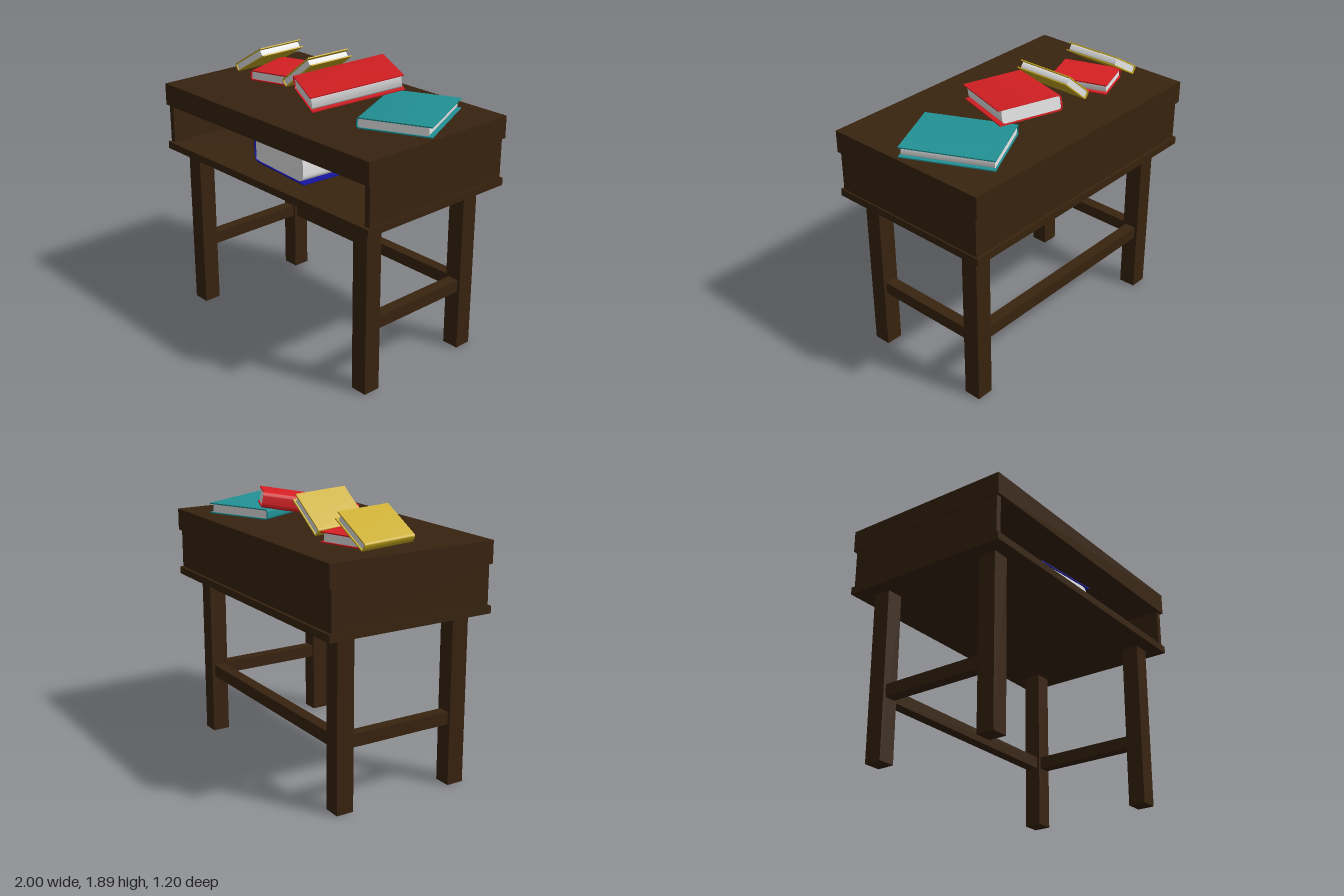
import * as THREE from 'three';
import { toCreasedNormals } from 'three/addons/utils/BufferGeometryUtils.js';

const material = (name, color) => {
  const m = new THREE.MeshStandardMaterial({ color });
  m.name = name;
  return m;
};

export function createModel() {
  const wood = material('dark wood', 0x38230f);
  const paper = material('paper white', 0xececec);
  const red = material('red cover', 0xd82024);
  const teal = material('teal cover', 0x229296);
  const yellow = material('yellow cover', 0xc9ab20);
  const blue = material('blue cover', 0x1616a0);

  const model = new THREE.Group();
  model.name = 'deskWithBooks';

  // Box given by its minimum and maximum corners
  const box = (name, x0, x1, y0, y1, z0, z1) => {
    const mesh = new THREE.Mesh(new THREE.BoxGeometry(x1 - x0, y1 - y0, z1 - z0), wood);
    mesh.name = name;
    mesh.position.set((x0 + x1) / 2, (y0 + y1) / 2, (z0 + z1) / 2);
    model.add(mesh);
  };

  // Desk body: top, shelf and three walls, open at the front
  box('deskTop', -1, 1, 1.48, 1.63, -0.6, 0.6);
  box('shelf', -1, 1, 1.16, 1.21, -0.6, 0.6);
  box('rightWall', -0.99, -0.95, 1.21, 1.48, -0.58, 0.58);
  box('leftWall', 0.95, 0.99, 1.21, 1.48, -0.58, 0.58);
  box('backWall', -0.95, 0.95, 1.21, 1.48, -0.58, -0.54);

  // Legs and stretchers
  for (const [side, x] of [['right', -0.84], ['left', 0.83]]) {
    box(side + 'FrontLeg', x - 0.06, x + 0.06, 0, 1.16, 0.38, 0.5);
    box(side + 'BackLeg', x - 0.06, x + 0.06, 0, 1.16, -0.48, -0.36);
    box(side + 'Stretcher', x - 0.04, x + 0.04, 0.42, 0.505, -0.36, 0.38);
  }
  box('backStretcher', -0.78, 0.77, 0.42, 0.505, -0.46, -0.38);

  // Extrudes a profile centred along z
  const extrude = (name, shape, depth, mat) => {
    const geo = new THREE.ExtrudeGeometry(shape, { depth, bevelEnabled: false, curveSegments: 6 });
    geo.translate(0, 0, -depth / 2);
    const mesh = new THREE.Mesh(toCreasedNormals(geo, 0.6), mat);
    mesh.name = name;
    return mesh;
  };

  // Book: U-shaped cover with its spine at local -x, around a rounded block of pages
  const book = (name, mat, [w, t, d], center, across, along) => {
    const c = 0.008, r = t * 0.28, x0 = -w / 2, x1 = w / 2, h = t / 2;
    const ri = r - c, xi = x0 + c, hi = h - c;
    const cover = new THREE.Shape();
    cover.moveTo(x1, -h);
    cover.lineTo(x1, -hi);
    cover.lineTo(xi + ri, -hi);
    cover.quadraticCurveTo(xi, -hi, xi, -hi + ri);
    cover.lineTo(xi, hi - ri);
    cover.quadraticCurveTo(xi, hi, xi + ri, hi);
    cover.lineTo(x1, hi);
    cover.lineTo(x1, h);
    cover.lineTo(x0 + r, h);
    cover.quadraticCurveTo(x0, h, x0, h - r);
    cover.lineTo(x0, -h + r);
    cover.quadraticCurveTo(x0, -h, x0 + r, -h);
    cover.closePath();

    const xe = x1 - 0.022, pages = new THREE.Shape();
    pages.moveTo(xi + ri, -hi);
    pages.lineTo(xe - ri, -hi);
    pages.quadraticCurveTo(xe, -hi, xe, -hi + ri);
    pages.lineTo(xe, hi - ri);
    pages.quadraticCurveTo(xe, hi, xe - ri, hi);
    pages.lineTo(xi + ri, hi);
    pages.quadraticCurveTo(xi, hi, xi, hi - ri);
    pages.lineTo(xi, -hi + ri);
    pages.quadraticCurveTo(xi, -hi, xi + ri, -hi);

    const group = new THREE.Group();
    group.name = name;
    group.add(extrude('cover', cover, d, mat), extrude('pages', pages, d - 0.02, paper));

    // Orient by the direction across the cover and the direction along the spine
    const X = new THREE.Vector3(...across).normalize();
    const Y = new THREE.Vector3(...along).cross(X).normalize();
    const Z = new THREE.Vector3().crossVectors(X, Y);
    group.quaternion.setFromRotationMatrix(new THREE.Matrix4().makeBasis(X, Y, Z));
    group.position.set(...center);
    model.add(group);
  };

  // Books lying on the desk, some leaning on others, and one on the shelf
  book('tealBook', teal, [0.485, 0.072, 0.607], [0.63, 1.668, -0.11], [0.44, 0, -0.21], [0.26, 0, 0.55]);
  book('largeRedBook', red, [0.42, 0.105, 0.625], [0.11, 1.755, -0.07], [0.38, -0.03, 0.18], [-0.26, -0.1, 0.56]);
  book('smallRedBook', red, [0.307, 0.07, 0.395], [-0.585, 1.667, -0.115], [0.29, 0, -0.1], [0.14, 0, 0.37]);
  book('firstYellowBook', yellow, [0.305, 0.06, 0.385], [-0.75, 1.744, -0.115], [0.86, 0.53, -0.08], [0.03, 0.01, 0.38]);
  book('secondYellowBook', yellow, [0.31, 0.06, 0.385], [-0.245, 1.763, -0.115], [0.77, 0.64, -0.08], [0.03, 0.016, 0.38]);
  book('blueBook', blue, [0.55, 0.205, 0.68], [0.005, 1.317, 0.08], [1, 0, 0.08], [-0.08, 0, 1]);

  return model;
}
